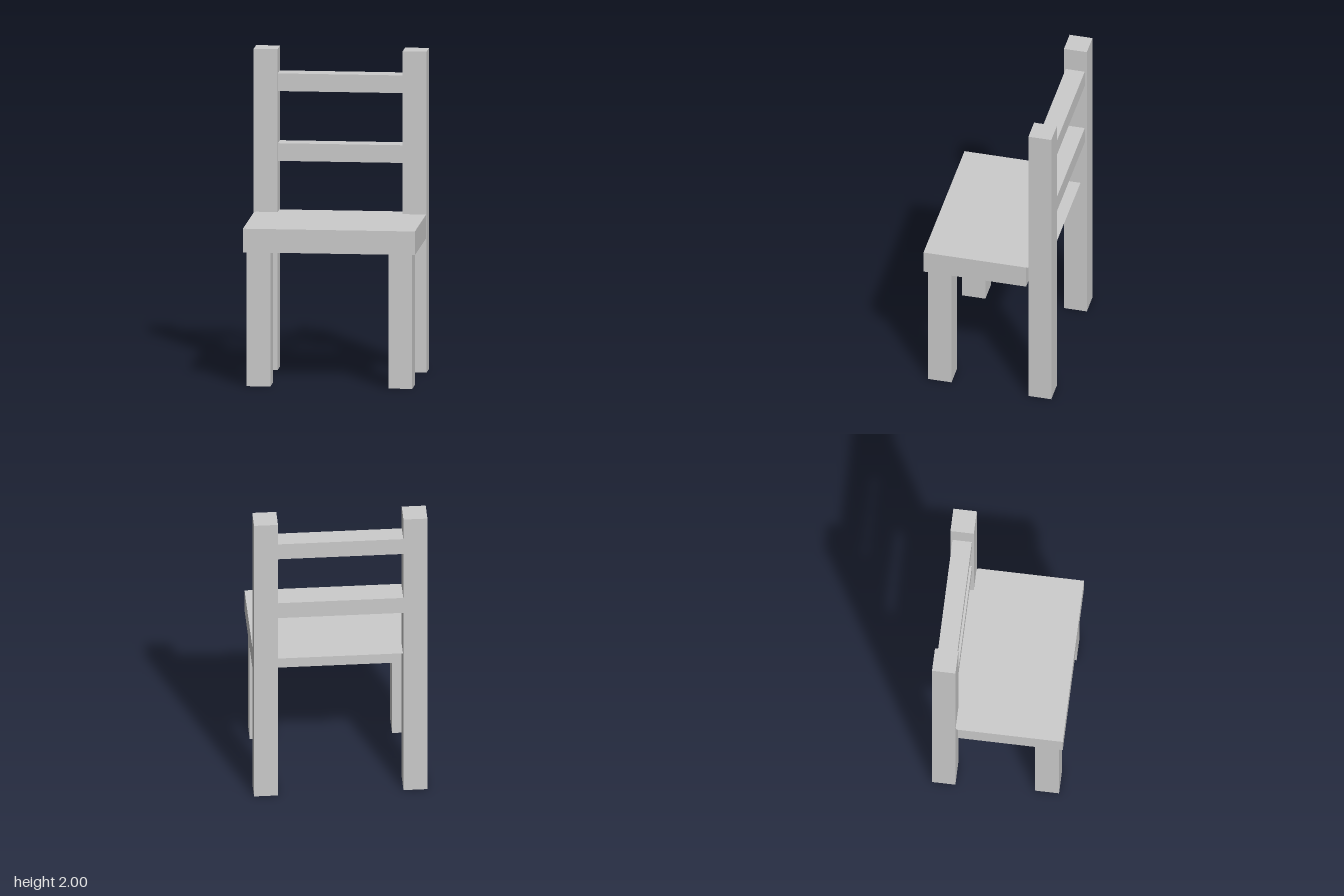
import * as THREE from 'three';

const material = new THREE.MeshStandardMaterial({ color: 0xcccccc, flatShading: true, side: THREE.DoubleSide });

// Box given by its limits; faces listed in "open" are left out
const FACES = ['right', 'left', 'top', 'bottom', 'front', 'back'];
function box(name, [x0, x1], [y0, y1], [z0, z1], open = []) {
  const geometry = new THREE.BoxGeometry(x1 - x0, y1 - y0, z1 - z0);
  const index = Array.from(geometry.index.array);
  geometry.setIndex(index.filter((_, i) => !open.includes(FACES[Math.floor(i / 6)])));
  geometry.translate((x0 + x1) / 2, (y0 + y1) / 2, (z0 + z1) / 2);
  const mesh = new THREE.Mesh(geometry, material);
  mesh.name = name;
  return mesh;
}

export function createModel() {
  const chair = new THREE.Group();
  chair.name = 'chair';

  // Hollow legs, open at the floor; the back ones rise into posts
  for (const [side, s] of [['left', 1], ['right', -1]]) {
    const span = (a, b) => (s > 0 ? [a, b] : [-b, -a]);
    chair.add(box(side + 'FrontLeg', span(0.365, 0.513), [0, 0.838], [0.232, 0.38], ['top', 'bottom']));
    chair.add(box(side + 'BackPost', span(0.387, 0.535), [0, 2], [-0.405, -0.26], ['bottom']));
  }

  // Seat body
  chair.add(box('seat', [-0.532, 0.532], [0.838, 0.985], [-0.245, 0.405], ['top']));

  // Seat top: a thin sheet reaching back between the posts
  const half = [[0.532, -0.405], [0.532, 0.252], [0.522, 0.26], [0.387, 0.26], [0.387, 0.365]];
  const outline = [...half, ...half.map(([x, y]) => [-x, y]).reverse()];
  const shape = new THREE.Shape(outline.map(([x, y]) => new THREE.Vector2(x, y)));
  const seatTop = new THREE.Mesh(new THREE.ShapeGeometry(shape).rotateX(-Math.PI / 2), material);
  seatTop.position.y = 0.985;
  seatTop.name = 'seatTop';
  chair.add(seatTop);

  // Back rails
  chair.add(box('lowerRail', [-0.39, 0.39], [1.302, 1.412], [-0.392, -0.272]));
  chair.add(box('upperRail', [-0.39, 0.39], [1.737, 1.847], [-0.392, -0.272]));

  return chair;
}
